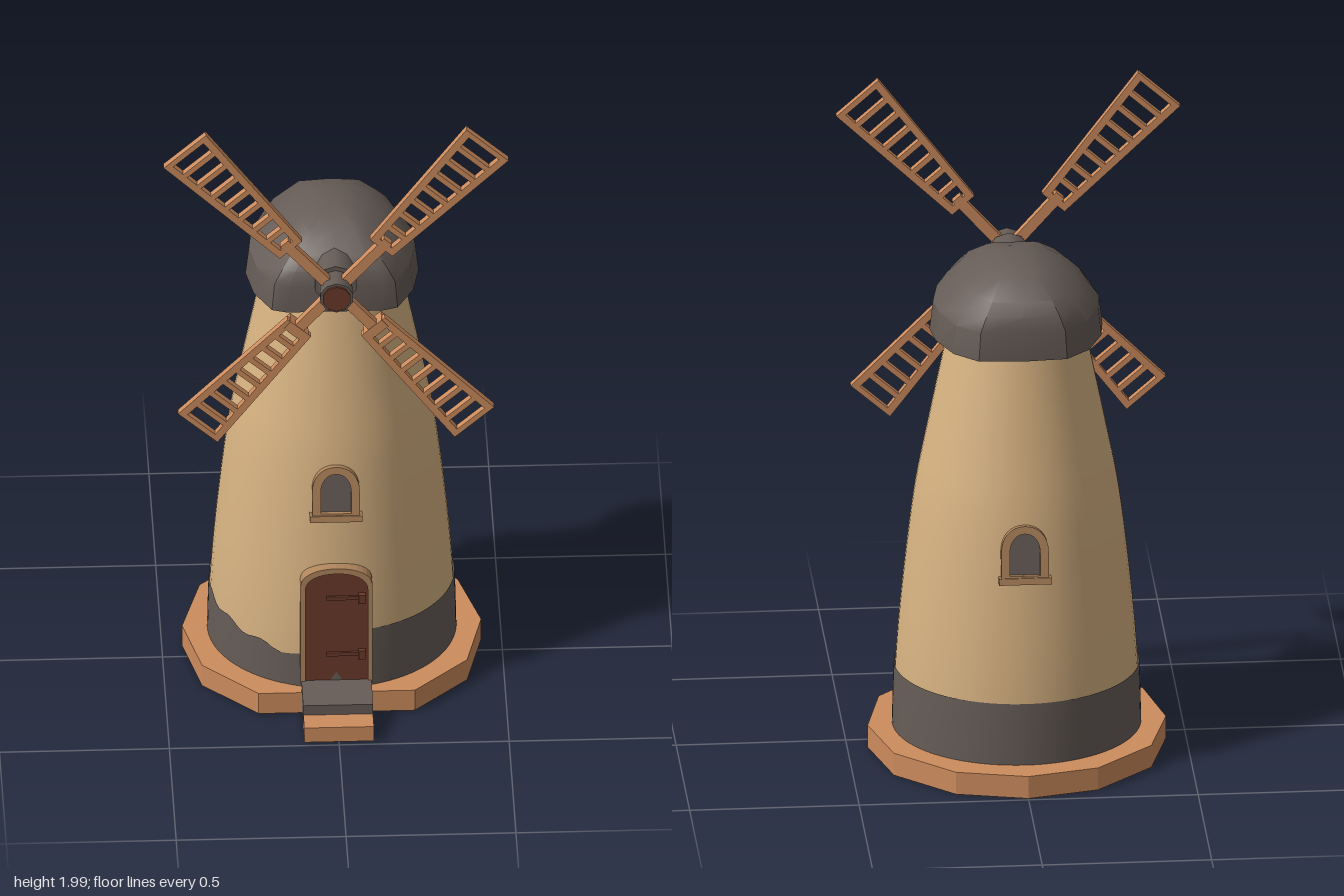
import * as THREE from 'three';
import { toCreasedNormals } from 'three/addons/utils/BufferGeometryUtils.js';

const mat = (name, color, side = THREE.FrontSide) => {
  const m = new THREE.MeshStandardMaterial({ color, side });
  m.name = name;
  return m;
};

// Tower profile [radius, height]; the tower is slightly narrower in depth
const PROFILE = [[0.363, 0.05], [0.357, 0.26], [0.338, 0.5], [0.303, 0.8], [0.262, 1.02], [0.197, 1.34]];
const DEPTH = 0.955, CENTRE_Z = -0.052;
const curve = new THREE.SplineCurve(PROFILE.map(p => new THREE.Vector2(...p)));
const points = curve.getPoints(30);
function radiusAt(y) {
  const i = Math.max(1, points.findIndex(p => p.y >= y));
  const a = points[i - 1], b = points[i];
  return a.x + (b.x - a.x) * (y - a.y) / (b.y - a.y);
}

// Arched outline with its foot on y = 0
function arch(w, h, rise, Type = THREE.Shape, y0 = 0) {
  const s = new Type();
  s.moveTo(-w, y0);
  s.lineTo(w, y0);
  s.lineTo(w, h - rise);
  s.bezierCurveTo(w, h - rise * 0.4, w * 0.6, h, 0, h);
  s.bezierCurveTo(-w * 0.6, h, -w, h - rise * 0.4, -w, h - rise);
  return s;
}
const extrude = (shape, depth) =>
  new THREE.ExtrudeGeometry(shape, { depth, bevelEnabled: false, curveSegments: 8 });

export function createModel() {
  const model = new THREE.Group();
  const plaster = mat('cream plaster', 0xd8b382);
  const slate = mat('dark grey', 0x665c57);
  const slateSkin = mat('dark grey paint', 0x665c57, THREE.DoubleSide);
  const wood = mat('orange wood', 0xcd8c5e);
  const brown = mat('dark brown wood', 0x6b3a2a);
  const trim = mat('tan trim', 0xb0855c);
  const add = (name, geo, material, parent = model, x = 0, y = 0, z = 0) => {
    const m = new THREE.Mesh(geo, material);
    m.name = name;
    m.position.set(x, y, z);
    parent.add(m);
    return m;
  };
  const box = (name, w, h, d, material, parent, x, y, z) =>
    add(name, new THREE.BoxGeometry(w, h, d), material, parent, x, y, z);

  // Eleven-sided plinth
  const half = [[0.23, 0.32], [0.39, 0.16], [0.44, -0.06], [0.38, -0.28], [0.21, -0.44]];
  const rim = [...half, [0, -0.49], ...half.map(([x, z]) => [-x, z]).reverse()];
  const plinth = extrude(new THREE.Shape(rim.map(([x, z]) => new THREE.Vector2(x, -z))), 0.07);
  add('plinth', plinth.rotateX(-Math.PI / 2), wood);

  // Entrance steps, the upper one slightly sloped
  box('lowerStep', 0.205, 0.05, 0.2, wood, model, 0, 0.03, 0.39);
  const slope = new THREE.Shape([[0.2, 0.02], [0.42, 0.02], [0.42, 0.088], [0.2, 0.105]]
    .map(p => new THREE.Vector2(...p)));
  add('upperStep', extrude(slope, 0.206).rotateY(-Math.PI / 2), slate, model, 0.103);

  // Tower body
  const tower = add('tower', new THREE.LatheGeometry(points, 56), plaster, model, 0, 0, CENTRE_Z);
  tower.scale.z = DEPTH;

  // Painted foot band, worn down on the right of the front
  const bandGeo = new THREE.CylinderGeometry(1, 1, 1, 96, 4, true);
  const pos = bandGeo.attributes.position;
  for (let i = 0; i < pos.count; i++) {
    const a = Math.atan2(pos.getX(i), pos.getZ(i));
    let top = 0.262;
    if (a < -0.15 && a > -1.45) top = 0.165 + 0.075 * (-a - 0.15) / 1.3 + 0.008 * Math.sin(a * 17);
    const y = 0.06 + (pos.getY(i) + 0.5) * (top - 0.06);
    const r = radiusAt(y) + 0.004;
    pos.setXYZ(i, Math.sin(a) * r, y, Math.cos(a) * r);
  }
  bandGeo.computeVertexNormals();
  add('footBand', bandGeo, slateSkin, model, 0, 0, CENTRE_Z).scale.z = DEPTH;

  // Door with arched surround, straps and knobs
  const door = new THREE.Group();
  door.name = 'door';
  door.position.y = 0.09;
  model.add(door);
  const surround = arch(0.106, 0.398, 0.06);
  surround.holes.push(arch(0.092, 0.38, 0.055, THREE.Path, 0.004));
  add('doorFrame', extrude(surround, 0.12), trim, door, 0, 0, 0.182);
  add('doorPanel', extrude(arch(0.094, 0.382, 0.055), 0.12), brown, door, 0, 0, 0.177);
  for (const y of [0.1, 0.295]) {
    box('doorStrap', 0.11, 0.012, 0.008, brown, door, 0.025, y, 0.3);
    box('doorKnob', 0.02, 0.03, 0.02, brown, door, 0.075, y, 0.302);
  }

  // Front and back windows, leaning with the wall
  for (const side of [1, -1]) {
    const w = new THREE.Group();
    w.name = side > 0 ? 'frontWindow' : 'backWindow';
    w.position.set(0, 0.637, CENTRE_Z + side * (radiusAt(0.637) * DEPTH + 0.012));
    w.rotation.order = 'YXZ';
    w.rotation.y = side > 0 ? 0 : Math.PI;
    w.rotation.x = -0.13;
    model.add(w);
    const frame = arch(0.07, 0.175, 0.08);
    frame.holes.push(arch(0.045, 0.152, 0.06, THREE.Path, 0.024));
    add('windowFrame', extrude(frame, 0.04), trim, w, 0, 0, -0.032);
    add('windowPane', extrude(arch(0.048, 0.155, 0.06, THREE.Shape, 0.02), 0.008), slate, w, 0, 0, -0.016);
    box('windowSill', 0.155, 0.02, 0.045, trim, w, 0, 0.008, -0.01);
  }

  // Cap: one plan outline, scaled ring by ring up to the crown
  const capHalf = [[0.14, 0.19], [0.185, 0.175], [0.235, 0.08], [0.255, -0.03], [0.245, -0.12], [0.2, -0.23], [0.13, -0.295]];
  const plan = [[0, 0.19], ...capHalf, [0, -0.305], ...capHalf.map(([x, z]) => [-x, z]).reverse()];
  const rings = [[1.315, 1, 1], [1.405, 0.96, 1], [1.45, 0.83, 0.96], [1.487, 0.68, 0.85], [1.535, 0.42, 0.56], [1.553, 0.2, 0.26]];
  const n = plan.length, verts = [], index = [];
  for (const [y, sx, sz] of rings)
    for (const [x, z] of plan) verts.push(x * sx, y, -0.05 + (z + 0.05) * sz);
  verts.push(0, 1.315, -0.05, 0, 1.557, -0.05);
  const bottom = rings.length * n, last = bottom - n;
  for (let i = 0; i < n; i++) {
    const j = (i + 1) % n;
    for (let k = 0; k < last; k += n) index.push(k + i, k + j, k + n + j, k + i, k + n + j, k + n + i);
    index.push(bottom, j, i, bottom + 1, last + i, last + j);
  }
  const cap = new THREE.BufferGeometry();
  cap.setAttribute('position', new THREE.Float32BufferAttribute(verts, 3));
  cap.setIndex(index);
  add('cap', toCreasedNormals(cap, 0.45), slate);

  // Axle and hub
  const rotor = new THREE.Group();
  rotor.name = 'rotor';
  rotor.position.y = 1.437;
  model.add(rotor);
  const disc = (name, r, z0, z1, m) =>
    add(name, new THREE.CylinderGeometry(r, r, z1 - z0, 10).rotateX(Math.PI / 2), m, rotor, 0, 0, (z0 + z1) / 2);
  disc('axleCollar', 0.064, 0.1, 0.235, slate);
  disc('hub', 0.05, 0.2, 0.308, slate);
  disc('hubCap', 0.042, 0.305, 0.315, brown);

  // Ladder-like sails
  function sail(name, dx, dy, inner, outer, w0, w1, cells) {
    const g = new THREE.Group();
    g.name = name;
    g.rotation.z = Math.atan2(-dx, dy);
    rotor.add(g);
    const width = y => w0 + (w1 - w0) * (y - inner) / (outer - inner);
    const quad = (a, b, inset, Type) => new Type([[-1, a], [1, a], [1, b], [-1, b]]
      .map(([s, y]) => new THREE.Vector2(s * (width(y) - inset), y)));
    const shape = quad(inner, outer, 0, THREE.Shape);
    const step = (outer - inner - 0.02) / cells;
    for (let i = 0; i < cells; i++) {
      const a = inner + 0.02 + i * step;
      shape.holes.push(quad(a, a + step - 0.016, 0.022, THREE.Path));
    }
    add('sailLattice', extrude(shape, 0.024), wood, g, 0, 0, 0.25);
    box('sailSpar', 0.032, inner + 0.03, 0.026, wood, g, 0, (inner + 0.03) / 2, 0.262);
    return g;
  }
  for (const s of [1, -1]) {
    sail('upperSail', s * 0.445, 0.5, 0.2, 0.67, 0.044, 0.083, 8);
    const low = sail('lowerSail', s * 0.407, -0.465, 0.165, 0.618, 0.046, 0.077, 8);
    box('sailClamp', 0.07, 0.03, 0.05, wood, low, 0, 0.178, 0.252);
  }
  return model;
}
